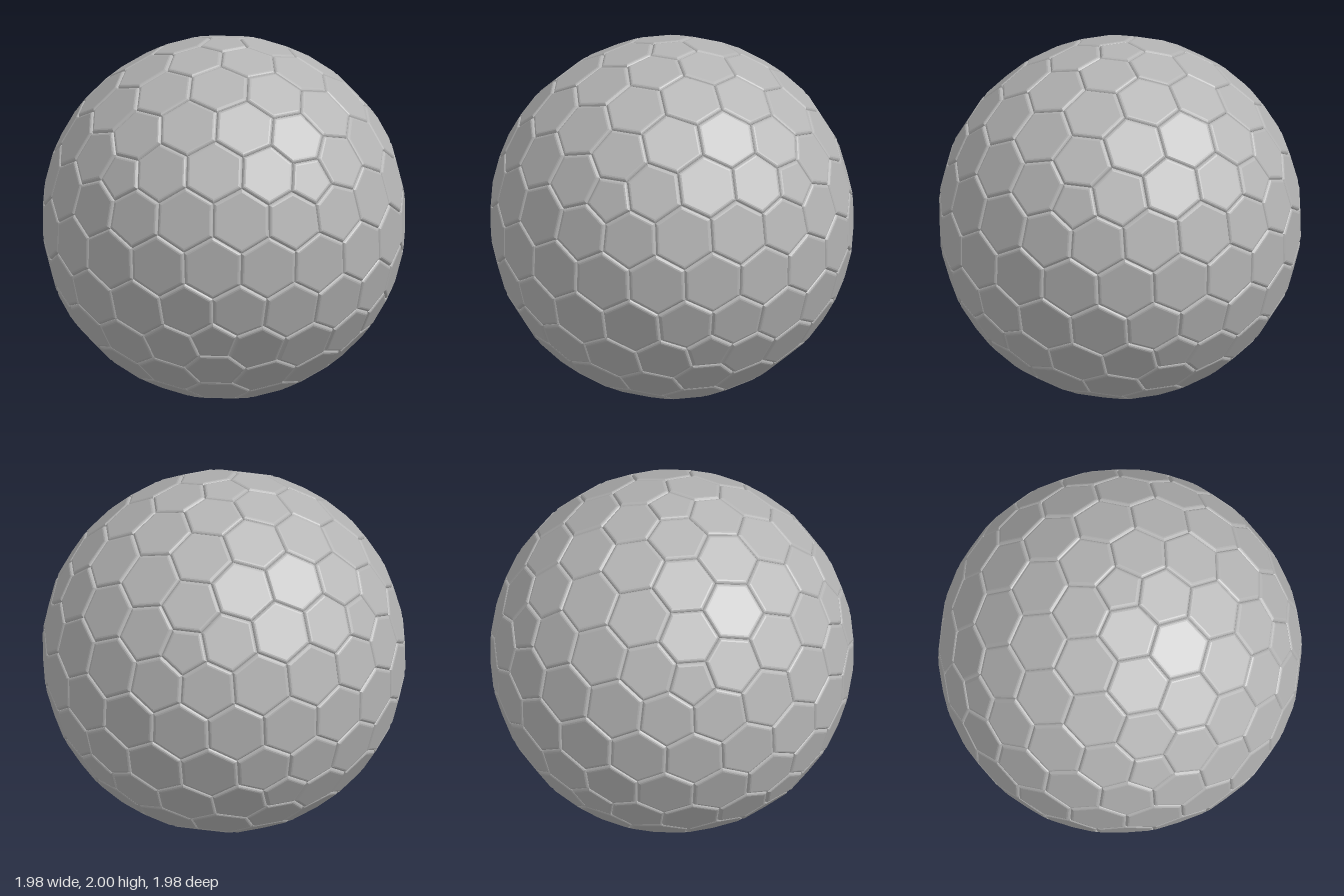
import * as THREE from 'three';

// Ball of 162 bevelled cells: 12 pentagons and 150 hexagons, the dual of a subdivided icosahedron.

// Cell seeds, each with the centroids of the triangles that meet there
function findCells() {
  const ico = new THREE.IcosahedronGeometry(1, 3);
  // turn it so that one pentagon sits on the pole and its neighbour towards +x
  const t = (1 + Math.sqrt(5)) / 2;
  const y = new THREE.Vector3(0, 1, t).normalize();
  const x = new THREE.Vector3(0, -1, t).normalize();
  x.addScaledVector(y, -x.dot(y)).normalize();
  const z = new THREE.Vector3().crossVectors(x, y);
  ico.applyMatrix4(new THREE.Matrix4().makeBasis(x, y, z).transpose());

  const pos = ico.attributes.position;
  const cells = [];
  for (let i = 0; i < pos.count; i += 3) {
    const tri = [0, 1, 2].map((k) => new THREE.Vector3().fromBufferAttribute(pos, i + k));
    const centroid = new THREE.Vector3().add(tri[0]).add(tri[1]).add(tri[2]).divideScalar(3);
    for (const v of tri) {
      let cell = cells.find((c) => c.seed.distanceTo(v) < 0.02);
      if (!cell) cells.push((cell = { seed: v, corners: [] }));
      cell.corners.push(centroid);
    }
  }
  // order the corners counter-clockwise as seen from outside
  for (const { seed, corners } of cells) {
    const u = corners[0].clone().addScaledVector(seed, -corners[0].dot(seed)).normalize();
    const w = new THREE.Vector3().crossVectors(seed, u);
    const angle = (p) => Math.atan2(p.dot(w), p.dot(u));
    corners.sort((a, b) => angle(a) - angle(b));
  }
  return cells;
}

// Rounded bevel: inset from the cell border and depth below its flat top
const BEVEL = [[0.021, 0], [0.013, 0.002], [0.007, 0.007], [0.003, 0.014]];
const GROOVE = 0.022;

function addCell({ corners }, scale, out) {
  const pts = corners.map((p) => p.clone().multiplyScalar(scale));
  const n = pts.length;
  const centre = new THREE.Vector3();
  pts.forEach((p) => centre.addScaledVector(p, 1 / n));
  const normal = new THREE.Vector3();
  pts.forEach((p, i) => normal.add(new THREE.Vector3().crossVectors(p, pts[(i + 1) % n])));
  normal.normalize();

  // flat top ring, then the bevel rings, then the groove floor shared with the neighbours
  const rings = BEVEL.map(([inset, depth]) => pts.map((p) => {
    const q = p.clone().addScaledVector(normal, centre.dot(normal) - p.dot(normal));
    const inward = centre.clone().sub(q).normalize();
    return q.addScaledVector(inward, inset / Math.cos(Math.PI / n)).addScaledVector(normal, -depth);
  }));
  rings.push(pts.map((p) => p.clone().multiplyScalar(1 - GROOVE)));

  const tri = (...vs) => vs.forEach((v) => out.push(v.x, v.y, v.z));
  for (let i = 0; i < n; i++) {
    const j = (i + 1) % n;
    tri(centre, rings[0][i], rings[0][j]);
    for (let r = 0; r + 1 < rings.length; r++) {
      const a = rings[r], b = rings[r + 1];
      tri(a[i], b[i], b[j]);
      tri(a[i], b[j], a[j]);
    }
  }
}

export function createModel() {
  const group = new THREE.Group();
  group.name = 'panelledBall';
  const grey = new THREE.MeshStandardMaterial({ color: 0xb4b4b4 });
  grey.name = 'grey';

  const cells = findCells();
  // the polar pentagons are the highest and lowest faces
  const polar = cells.find((c) => c.seed.y > 0.999);
  const scale = 1 / polar.corners[0].y;

  for (const [name, sides] of [['pentagonPanels', 5], ['hexagonPanels', 6]]) {
    const out = [];
    cells.filter((c) => c.corners.length === sides).forEach((c) => addCell(c, scale, out));
    const geometry = new THREE.BufferGeometry();
    geometry.setAttribute('position', new THREE.Float32BufferAttribute(out, 3));
    geometry.computeVertexNormals();
    const mesh = new THREE.Mesh(geometry, grey);
    mesh.name = name;
    mesh.position.y = 1;
    group.add(mesh);
  }
  return group;
}
